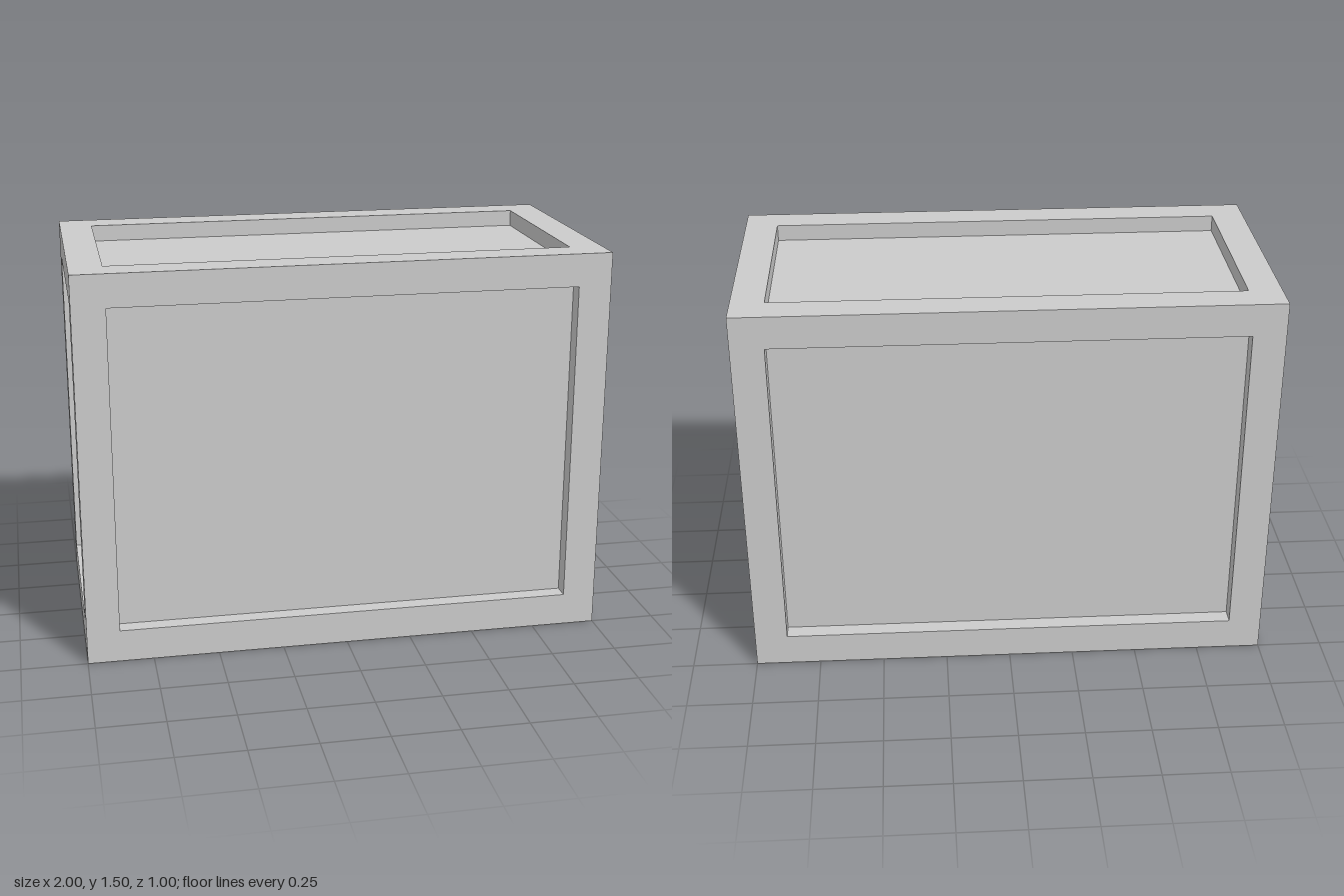
import * as THREE from 'three';
import { mergeGeometries } from 'three/addons/utils/BufferGeometryUtils.js';

const W = 2, H = 1.5, D = 1;   // overall size
const BORDER = 0.125;          // width of the frame around each panel
const RECESS = 0.0625;         // depth of each panel

const material = new THREE.MeshStandardMaterial({ color: 0xcccccc });

function rectangle(PathType, w, h) {
  return new PathType([
    new THREE.Vector2(-w / 2, -h / 2), new THREE.Vector2(w / 2, -h / 2),
    new THREE.Vector2(w / 2, h / 2), new THREE.Vector2(-w / 2, h / 2),
  ]);
}

// One side facing +z: a flat border, the four walls of the recess and its panel
function createSide(name, w, h) {
  const iw = w - 2 * BORDER, ih = h - 2 * BORDER;
  const ring = rectangle(THREE.Shape, w, h);
  ring.holes.push(rectangle(THREE.Path, iw, ih));

  const parts = [new THREE.ShapeGeometry(ring)];
  for (const s of [-1, 1]) {
    parts.push(
      new THREE.PlaneGeometry(RECESS, ih).rotateY(-s * Math.PI / 2).translate(s * iw / 2, 0, -RECESS / 2),
      new THREE.PlaneGeometry(iw, RECESS).rotateX(s * Math.PI / 2).translate(0, s * ih / 2, -RECESS / 2),
    );
  }
  const frame = new THREE.Mesh(mergeGeometries(parts), material);
  frame.name = name + 'Frame';

  const panel = new THREE.Mesh(new THREE.PlaneGeometry(iw, ih), material);
  panel.name = name + 'Panel';
  panel.position.z = -RECESS;

  const side = new THREE.Group();
  side.name = name + 'Side';
  side.add(frame, panel);
  return side;
}

export function createModel() {
  const model = new THREE.Group();
  model.name = 'panelledCrate';

  // name, width, height, distance from centre, rotation about x, rotation about y
  const q = Math.PI / 2;
  const sides = [
    ['front', W, H, D / 2, 0, 0],
    ['back', W, H, D / 2, 0, 2 * q],
    ['left', D, H, W / 2, 0, q],
    ['right', D, H, W / 2, 0, -q],
    ['top', W, D, H / 2, -q, 0],
    ['bottom', W, D, H / 2, q, 0],
  ];
  for (const [name, w, h, distance, rx, ry] of sides) {
    const side = createSide(name, w, h);
    side.rotation.set(rx, ry, 0);
    side.translateZ(distance);
    side.position.y += H / 2;
    model.add(side);
  }
  return model;
}
